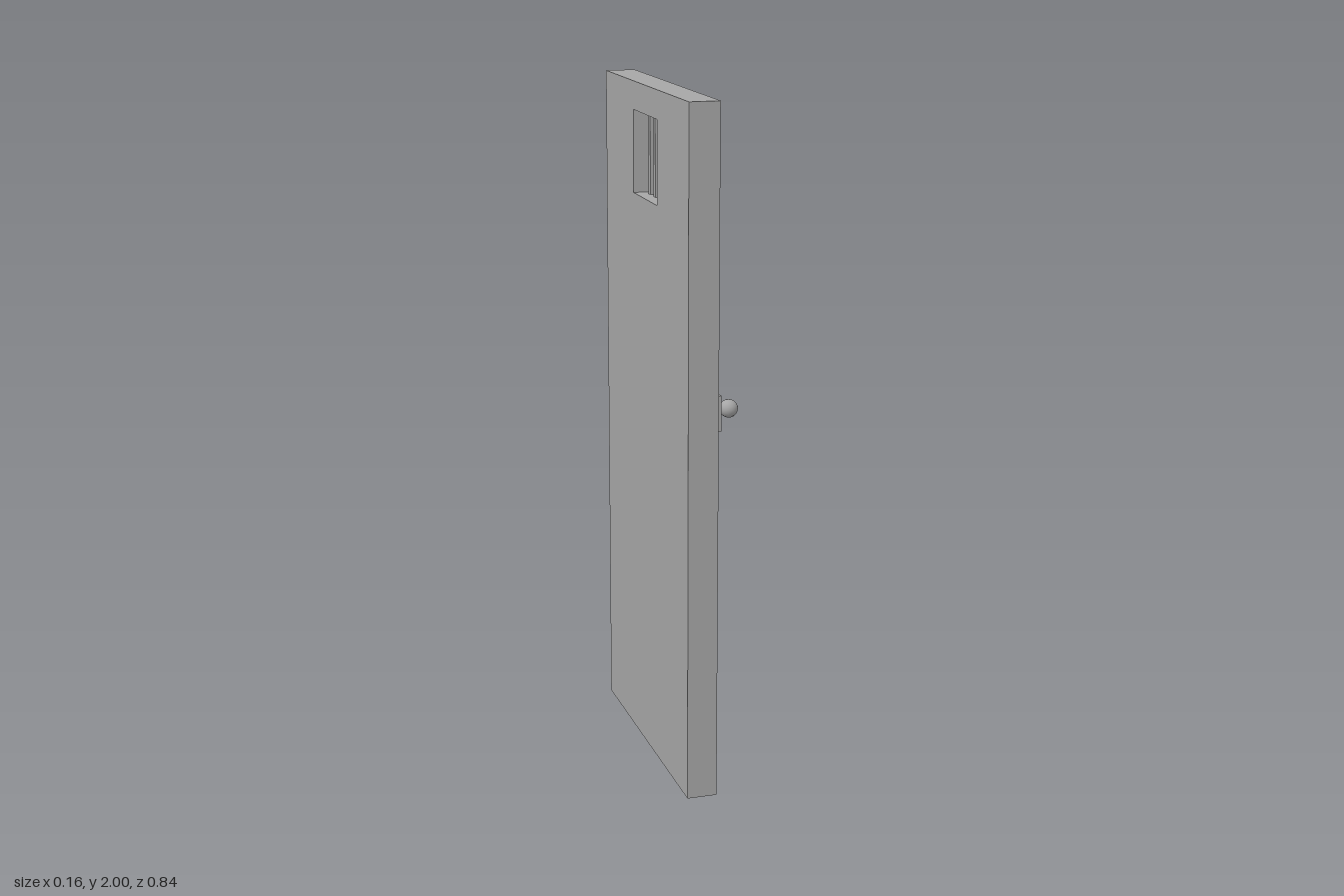
import * as THREE from 'three';

export function createModel() {
  const group = new THREE.Group();
  const grey = new THREE.MeshStandardMaterial({ color: 0xa6a6a6 });
  grey.name = 'grey metal';

  const backX = -0.081, faceX = 0.007;
  const windowHalf = 0.121, windowBottom = 1.677, windowTop = 1.918;

  function add(name, geometry, x, y, z) {
    const mesh = new THREE.Mesh(geometry, grey);
    mesh.name = name;
    mesh.position.set(x, y, z);
    group.add(mesh);
    return mesh;
  }

  // Door slab with a square window, drawn in the z-y plane and extruded along x
  const slab = new THREE.Shape([
    new THREE.Vector2(-0.42, 0), new THREE.Vector2(0.42, 0),
    new THREE.Vector2(0.42, 2), new THREE.Vector2(-0.42, 2),
  ]);
  slab.holes.push(new THREE.Path([
    new THREE.Vector2(-windowHalf, windowBottom), new THREE.Vector2(-windowHalf, windowTop),
    new THREE.Vector2(windowHalf, windowTop), new THREE.Vector2(windowHalf, windowBottom),
  ]));
  const door = new THREE.ExtrudeGeometry(slab, { depth: faceX - backX, bevelEnabled: false });
  door.rotateY(Math.PI / 2);
  add('door', door, backX, 0, 0);

  // Four upright bars in the window
  const barHeight = windowTop - windowBottom;
  for (let i = 0; i < 4; i++) {
    add('windowBar', new THREE.BoxGeometry(0.018, barHeight, 0.018),
      (backX + faceX) / 2, windowBottom + barHeight / 2, (i - 1.5) * 0.051);
  }

  // Handle plate and the round knob standing clear of it
  add('handlePlate', new THREE.BoxGeometry(0.011, 0.102, 0.102), faceX + 0.0055, 1.14, 0.36);
  const knob = new THREE.SphereGeometry(0.026, 16, 12);
  knob.rotateZ(-Math.PI / 2);
  add('knob', knob, 0.055, 1.14, 0.36);

  return group;
}
